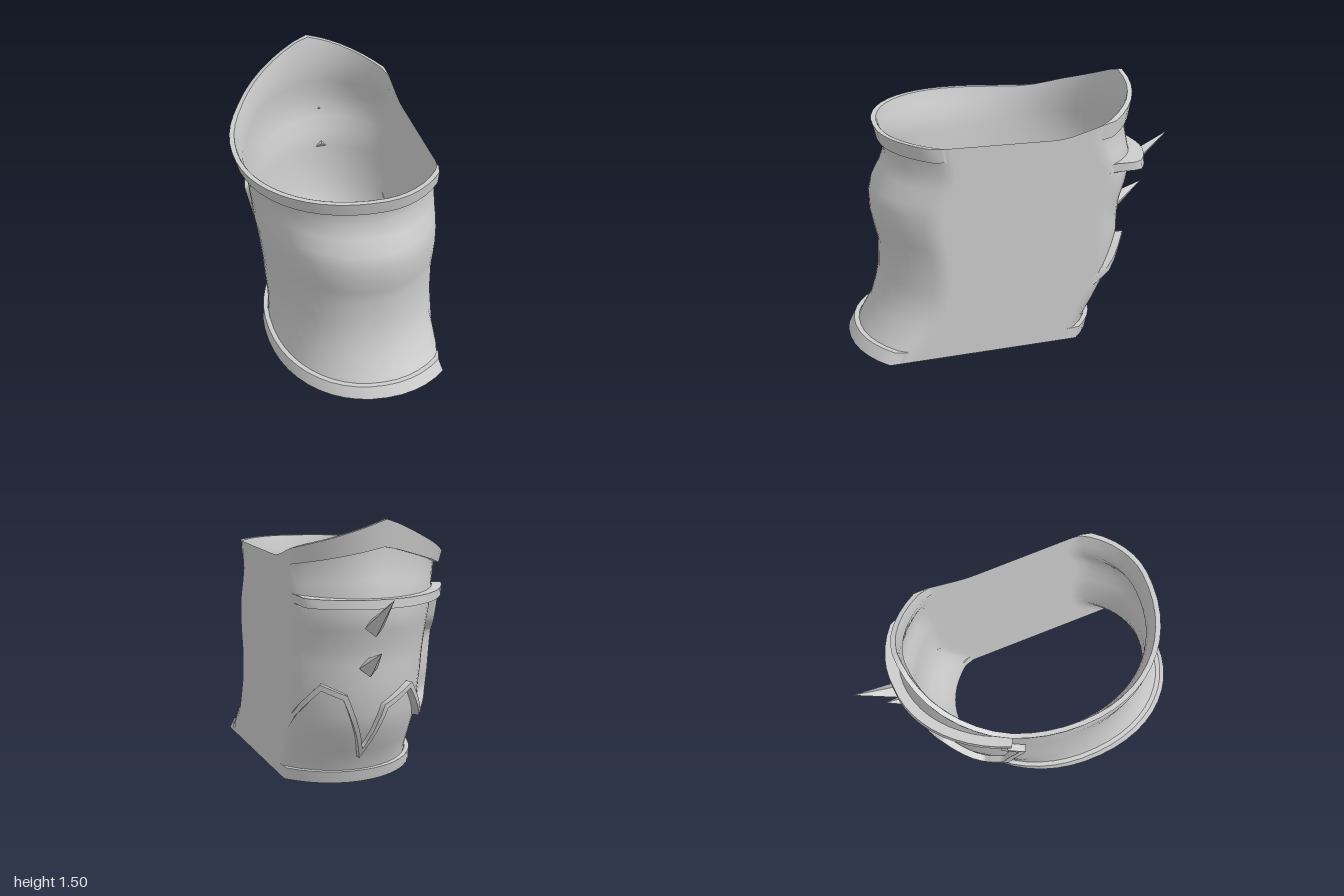
import * as THREE from 'three';
import { mergeGeometries } from 'three/addons/utils/BufferGeometryUtils.js';

const FLAT_X = 0.53; // plane of the flat side wall
const BASE = 0.002;  // strips start just above the shell

// cross-sections: height, left x, centre x, front z, back z, right radius in front and at the back
const SECTIONS = [
  [0, -0.38, 0.18, 0.968, -0.42, 0.58, 0.5],
  [0.1, -0.365, 0.17, 0.915, -0.45, 0.54, 0.5],
  [0.2, -0.36, 0.16, 0.855, -0.515, 0.51, 0.51],
  [0.31, -0.365, 0.15, 0.82, -0.575, 0.495, 0.53],
  [0.42, -0.37, 0.15, 0.797, -0.62, 0.49, 0.54],
  [0.6, -0.39, 0.15, 0.79, -0.645, 0.49, 0.55],
  [0.7, -0.405, 0.15, 0.812, -0.647, 0.49, 0.55],
  [0.8, -0.42, 0.15, 0.83, -0.66, 0.49, 0.55],
  [0.9, -0.427, 0.15, 0.832, -0.695, 0.49, 0.55],
  [0.97, -0.435, 0.15, 0.815, -0.71, 0.49, 0.55],
  [1.06, -0.443, 0.15, 0.765, -0.712, 0.49, 0.54],
  [1.14, -0.455, 0.15, 0.73, -0.69, 0.49, 0.51],
  [1.22, -0.48, 0.15, 0.74, -0.665, 0.49, 0.5],
  [1.3, -0.5, 0.15, 0.76, -0.69, 0.49, 0.5],
];

function sectionAt(v) {
  let i = 0;
  while (i < SECTIONS.length - 2 && v > SECTIONS[i + 1][0]) i++;
  const a = SECTIONS[i], b = SECTIONS[i + 1];
  const t = (v - a[0]) / (b[0] - a[0]);
  return a.map((n, k) => n + (b[k] - n) * t);
}

// height of the upper rim: gentle slope in front, pointed crest at the back
function rimHeight(x, z) {
  if (z > -0.13) return 1.28 + 0.05 * (z + 0.13) / 0.91;
  const crest = Math.max(0, 0.22 - (x < 0.08 ? 0.42 : 0.35) * Math.abs(x - 0.08));
  return 1.28 + crest * THREE.MathUtils.smoothstep(-z, 0.13, 0.5);
}

// point on the shell; angle 0 is the back, growing toward -x
function shell(angle, v, offset = 0) {
  const [, left, cx, front, back, frontRight, backRight] = sectionAt(v);
  let sin = Math.sin(angle), cos = Math.cos(angle);
  const right = cos < 0 ? frontRight : backRight;
  // the front left quarter is a little fuller than an ellipse
  if (sin > 0 && cos < 0) {
    sin = sin ** 0.92;
    cos = -((-cos) ** 0.92);
  }
  const cz = (front + back) / 2 + 0.06 * v;
  const rx = (sin < 0 ? right : cx - left) + offset;
  const rz = (cos < 0 ? front - cz : cz - back) + offset;
  const x = Math.min(FLAT_X, cx - rx * sin);
  const z = cz - rz * cos;
  const blend = THREE.MathUtils.clamp((v - 1.1) / 0.2, 0, 1);
  const y = v + (1 - v / 1.3) * Math.max(0, 0.07 * (z + 0.45) / 1.45)
    + blend * (rimHeight(x, z) - 1.3);
  return [x, y, z];
}

// indexed grid surface from a point function
function grid(fn, nu, nv) {
  const pos = [], index = [];
  for (let i = 0; i <= nu; i++) for (let j = 0; j <= nv; j++) pos.push(...fn(i, j));
  for (let i = 0; i < nu; i++) for (let j = 0; j < nv; j++) {
    const a = i * (nv + 1) + j, b = a + nv + 1;
    index.push(a, b, a + 1, b, b + 1, a + 1);
  }
  const g = new THREE.BufferGeometry();
  g.setAttribute('position', new THREE.Float32BufferAttribute(pos, 3));
  g.setIndex(index);
  g.computeVertexNormals();
  return g;
}

// raised strip with a sharp rectangular section; corners(i) gives four points
function strip(corners, n) {
  const faces = [0, 1, 2, 3].map((k) =>
    grid((i, j) => corners(i)[(k + j) % 4], n, 1));
  const ends = [0, n].map((e) => grid((i, j) => corners(e)[i ? 3 - j : j], 1, 1));
  return mergeGeometries([...faces, ...ends]);
}

// level band; bow lifts its ends, flare deepens it toward the flat wall
function band(from, to, n, low, high, depth, bow = 0, flare = 0) {
  return strip((i) => {
    const a = from + (to - from) * i / n, b = bow * a * a;
    const d = depth + flare * Math.max(0, -Math.sin(a));
    return [shell(a, low + b, BASE), shell(a, low + b, d),
      shell(a, high + b, d), shell(a, high + b, BASE)];
  }, n);
}

// strip following a polyline of [angle, height] on the shell, with mitred corners
function trim(outline, width, depth) {
  const s = 0.6, path = [];
  const dir = (p, q) => new THREE.Vector2((q[0] - p[0]) * s, q[1] - p[1]).normalize();
  const miters = outline.map((p, i) => {
    const d0 = dir(outline[Math.max(0, i - 1)], outline[Math.max(1, i)]);
    const d1 = i < outline.length - 1 ? dir(p, outline[i + 1]) : d0;
    const m = new THREE.Vector2(-d0.y - d1.y, d0.x + d1.x).normalize();
    const k = Math.max(0.5, m.dot(new THREE.Vector2(-d1.y, d1.x)));
    return [m.x * width / k / s, m.y * width / k];
  });
  const lerp = (p, q, t) => [p[0] + (q[0] - p[0]) * t, p[1] + (q[1] - p[1]) * t];
  for (let i = 0; i < outline.length - 1; i++) {
    for (let k = 0; k < 5; k++) {
      path.push([lerp(outline[i], outline[i + 1], k / 5), lerp(miters[i], miters[i + 1], k / 5)]);
    }
  }
  path.push([outline.at(-1), miters.at(-1)]);
  return strip((i) => {
    const [p, m] = path[i];
    const q = [p[0] + m[0], p[1] + m[1]];
    return [shell(...p, BASE), shell(...p, depth), shell(...q, depth), shell(...q, BASE)];
  }, path.length - 1);
}

export function createModel() {
  const group = new THREE.Group();
  const metal = new THREE.MeshStandardMaterial({ color: 0xcccccc, side: THREE.DoubleSide });
  metal.name = 'light grey metal';
  const add = (name, geometry) => {
    const mesh = new THREE.Mesh(geometry, metal);
    mesh.name = name;
    group.add(mesh);
    return mesh;
  };

  // open shell, seam hidden in the flat wall
  const rows = SECTIONS.map((r) => r[0]);
  add('shell', grid((i, j) => shell(-Math.PI / 2 + i / 72 * Math.PI * 2, rows[j]),
    72, rows.length - 1));

  // rims around the curved side
  add('bottomRim', band(-0.85, Math.PI + 0.75, 36, 0, 0.07, 0.03));
  add('topRim', band(-0.9, Math.PI + 0.9, 40, 1.225, 1.3, 0.03));

  // back plate: brow band and jagged lower trim
  add('browBand', band(-0.9, 1.13, 20, 1.025, 1.075, 0.06, 0.02, 0.085));
  add('plateTrim', trim([
    [-0.88, 0.32], [-0.48, 0.57], [-0.28, 0.52], [-0.02, 0.16], [0.17, 0.46], [0.46, 0.55],
    [0.8, 0.34], [1.07, 0.45], [1.19, 0.81], [1.08, 0.89], [1.11, 1.05],
  ], 0.03, 0.045));

  // four-sided spikes on the back
  const spikes = [
    [new THREE.Vector3(0.17, 0.92, -0.73), new THREE.Vector3(0.17, 1.1, -1)],
    [new THREE.Vector3(0.17, 0.69, -0.655), new THREE.Vector3(0.17, 0.8, -0.84)],
  ];
  for (const [base, tip] of spikes) {
    const axis = tip.clone().sub(base);
    const cone = new THREE.ConeGeometry(0.054, axis.length(), 4).toNonIndexed();
    cone.computeVertexNormals();
    const mesh = add('spike', cone);
    mesh.position.copy(base).add(tip).multiplyScalar(0.5);
    mesh.quaternion.setFromUnitVectors(new THREE.Vector3(0, 1, 0), axis.normalize());
  }
  return group;
}
